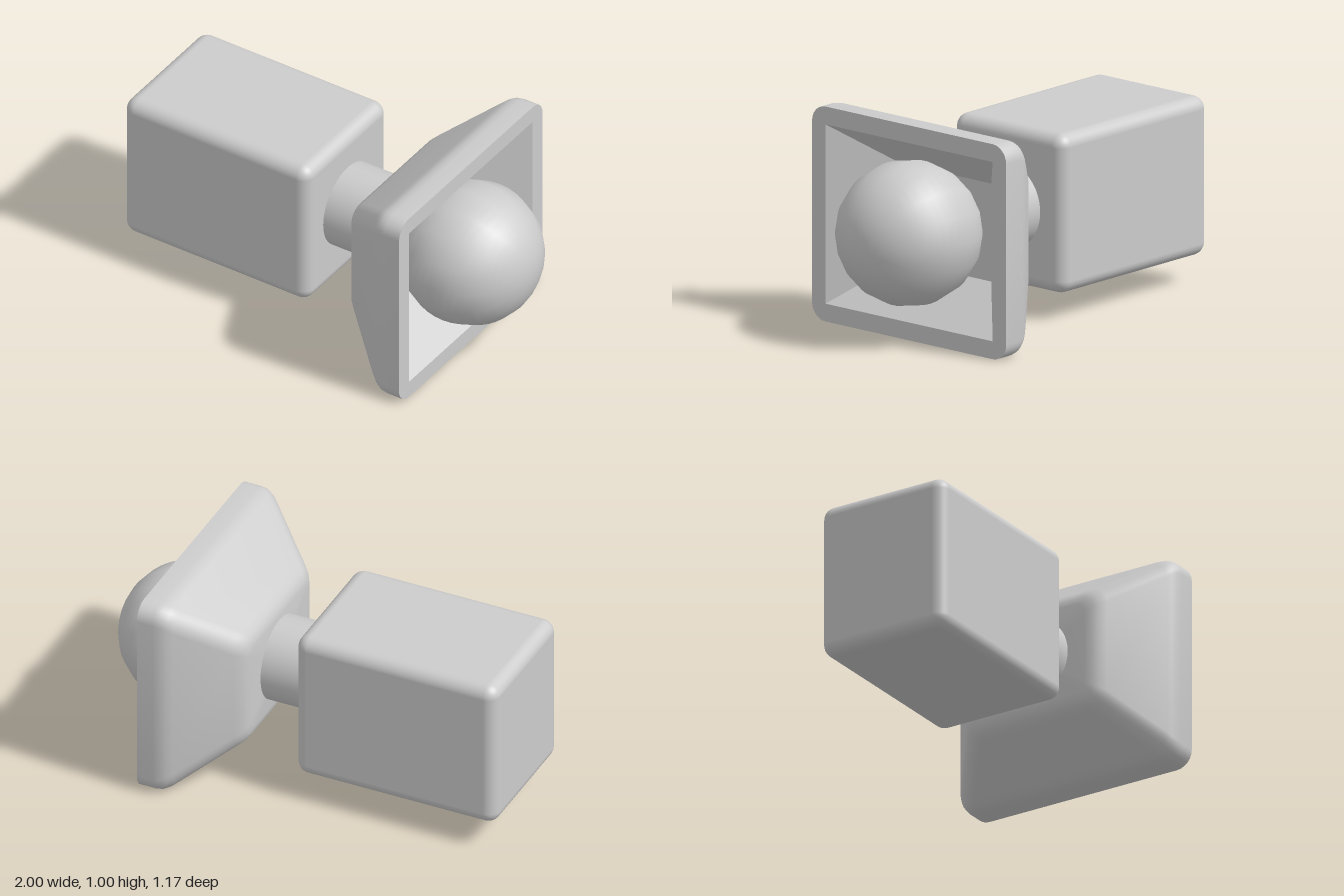
import * as THREE from 'three';
import { toCreasedNormals } from 'three/addons/utils/BufferGeometryUtils.js';
import { RoundedBoxGeometry } from 'three/addons/geometries/RoundedBoxGeometry.js';

const CORNER_STEPS = 6;

// Rounded rectangle across the x axis: half height, half depth, corner radius
function ring([x, hy, hz, r]) {
  const points = [];
  for (let q = 0; q < 4; q++) {
    const sy = q === 0 || q === 3 ? 1 : -1;
    const sz = q < 2 ? 1 : -1;
    for (let i = 0; i <= CORNER_STEPS; i++) {
      const a = (q + i / CORNER_STEPS) * Math.PI / 2;
      points.push(x, sy * (hy - r) + r * Math.cos(a), sz * (hz - r) + r * Math.sin(a));
    }
  }
  return points;
}

// Skin a series of rounded rectangles
function loft(sections) {
  const n = 4 * (CORNER_STEPS + 1);
  const index = [];
  for (let i = 0; i < sections.length - 1; i++) {
    for (let j = 0; j < n; j++) {
      const k = (j + 1) % n;
      const a = i * n + j, b = i * n + k, c = a + n, d = b + n;
      index.push(a, b, c, b, d, c);
    }
  }
  const g = new THREE.BufferGeometry();
  g.setAttribute('position', new THREE.Float32BufferAttribute(sections.flatMap(ring), 3));
  g.setIndex(index);
  return toCreasedNormals(g, 0.6);
}

export function createModel() {
  const grey = new THREE.MeshStandardMaterial({ color: 0xcccccc });
  grey.name = 'plain grey';
  const model = new THREE.Group();
  model.name = 'model';

  const add = (name, geometry, x) => {
    const mesh = new THREE.Mesh(geometry, grey);
    mesh.name = name;
    mesh.position.set(x, 0.502, 0);
    model.add(mesh);
  };

  // Rounded block
  add('body', new RoundedBoxGeometry(1, 0.74, 0.664, 5, 0.06), -0.5);

  // Short round neck
  add('neck', new THREE.CylinderGeometry(0.2, 0.2, 0.34, 48).rotateZ(Math.PI / 2), 0.12);

  // Flared cup: closed back, rounded outside, flat rim, tapered hollow
  add('cup', loft([
    [0.23, 0, 0, 0],
    [0.23, 0.22, 0.29, 0.05],
    [0.236, 0.25, 0.325, 0.06],
    [0.253, 0.277, 0.352, 0.07],
    [0.28, 0.301, 0.378, 0.08],
    [0.5, 0.463, 0.553, 0.08],
    [0.525, 0.482, 0.569, 0.08],
    [0.553, 0.495, 0.58, 0.08],
    [0.585, 0.5, 0.583, 0.08],
    [0.664, 0.5, 0.583, 0.08],
    [0.664, 0.417, 0.502, 0],
    [0.415, 0.228, 0.273, 0],
    [0.415, 0, 0, 0],
  ]), 0);

  // Ball seated in the cup
  add('ball', new THREE.SphereGeometry(0.333, 16, 24).rotateZ(-Math.PI / 2), 0.666);

  return model;
}
